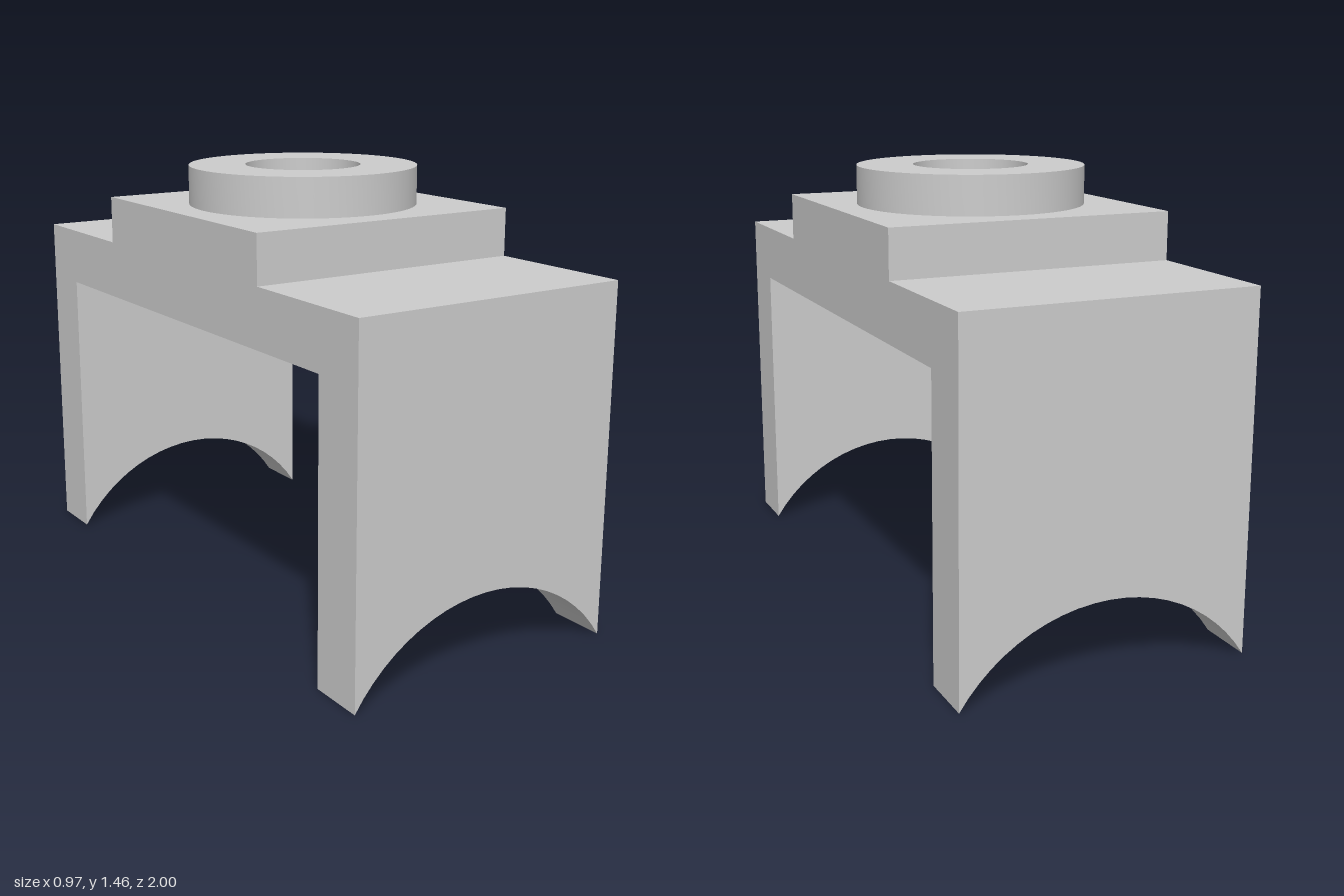
import * as THREE from 'three';
import { toCreasedNormals } from 'three/addons/utils/BufferGeometryUtils.js';

const HALF_W = 0.483;      // half width along x
const UNDERSIDE = 0.97;    // lower face of the bridge
const SHOULDER = 1.165;    // top of the outer ledges
const PAD_TOP = 1.325;     // top of the raised pad
const BOSS_TOP = 1.455;
const LEG = 0.19;          // leg thickness
const ARCH = 0.263;        // rise of the arched foot

// Extrude a shape, centred on its depth, with smooth curves and sharp edges
function extrude(shape, depth, curveSegments) {
  const geometry = new THREE.ExtrudeGeometry(shape, { depth, curveSegments, bevelEnabled: false });
  geometry.translate(0, 0, -depth / 2);
  return toCreasedNormals(geometry, 0.4);
}

export function createModel() {
  const group = new THREE.Group();
  const material = new THREE.MeshStandardMaterial({ color: 0xcccccc });
  const add = (name, geometry) => {
    const mesh = new THREE.Mesh(geometry, material);
    mesh.name = name;
    group.add(mesh);
    return mesh;
  };

  // Bridge with a raised centre pad: side profile swept across the width
  const profile = [
    [-1, UNDERSIDE], [1, UNDERSIDE], [1, SHOULDER], [0.485, SHOULDER],
    [0.485, PAD_TOP], [-0.485, PAD_TOP], [-0.485, SHOULDER], [-1, SHOULDER],
  ].map(([z, y]) => new THREE.Vector2(z, y));
  add('bridge', extrude(new THREE.Shape(profile), HALF_W * 2, 1).rotateY(Math.PI / 2));

  // Legs with a circular saddle cut into the foot
  const radius = (HALF_W ** 2 + ARCH ** 2) / (2 * ARCH);
  const start = Math.acos(HALF_W / radius);
  const legShape = new THREE.Shape();
  legShape.moveTo(-HALF_W, UNDERSIDE);
  legShape.lineTo(HALF_W, UNDERSIDE);
  legShape.absarc(0, ARCH - radius, radius, start, Math.PI - start, false);
  const legGeometry = extrude(legShape, LEG, 11);
  for (const [name, side] of [['frontLeg', 1], ['backLeg', -1]]) {
    add(name, legGeometry).position.z = side * (1 - LEG / 2);
  }

  // Ring boss on the pad; the pad closes the bottom of its bore
  const ring = new THREE.Shape().absarc(0, 0, 0.385, 0, Math.PI * 2, false);
  ring.holes.push(new THREE.Path().absarc(0, 0, 0.194, 0, Math.PI * 2, true));
  const height = BOSS_TOP - PAD_TOP;
  add('ringBoss', extrude(ring, height, 48).rotateX(-Math.PI / 2))
    .position.y = PAD_TOP + height / 2;

  return group;
}
